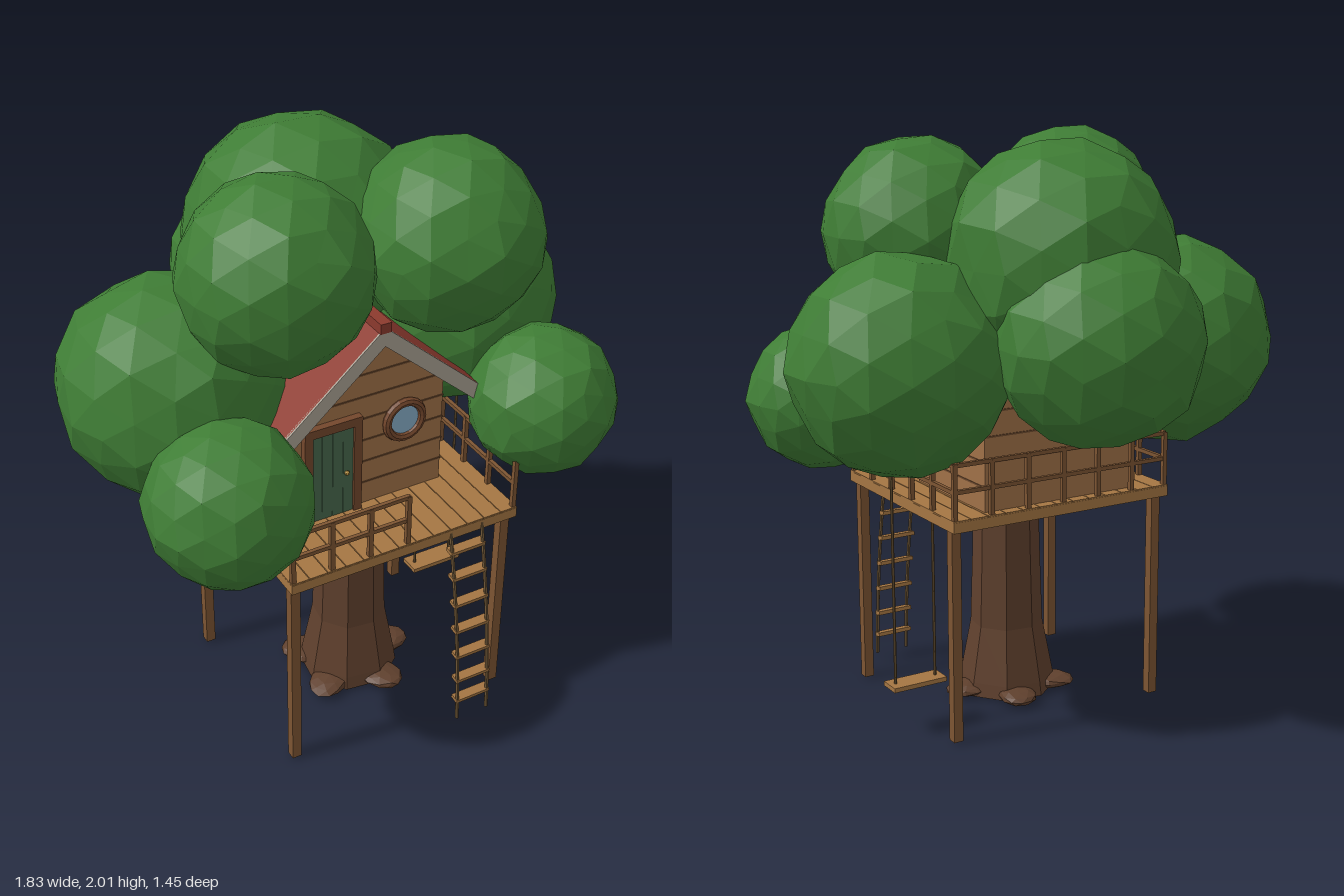
import * as THREE from 'three';

const mat = (color, flat = true) => new THREE.MeshStandardMaterial({ color, flatShading: flat });
const M = {
  leaf: mat(0x3f7d35), bark: mat(0x5f402d), plank: mat(0xa57643), post: mat(0x7d5533),
  wall: mat(0xa07148), seam: mat(0x6e4a2e), roof: mat(0x8c3a2e), trim: mat(0xaaa294),
  door: mat(0x48684c), frame: mat(0x74472c), glass: mat(0x86aec8), rope: mat(0x6e5636), knob: mat(0xb08a3c),
};
const CX = 0.016; // centre line of house and deck

function add(parent, name, geo, material, x = 0, y = 0, z = 0) {
  const m = new THREE.Mesh(geo, material);
  m.name = name;
  m.position.set(x, y, z);
  parent.add(m);
  return m;
}
const box = (p, name, material, w, h, d, x, y, z) => add(p, name, new THREE.BoxGeometry(w, h, d), material, x, y, z);

function group(parent, name) {
  const g = new THREE.Group();
  g.name = name;
  parent.add(g);
  return g;
}

// Faceted ball whose vertices move in or out by a rule based on their direction
function lump(radius, detail, seed, amount) {
  const geo = new THREE.IcosahedronGeometry(1, detail);
  const p = geo.attributes.position, v = new THREE.Vector3();
  for (let i = 0; i < p.count; i++) {
    v.fromBufferAttribute(p, i);
    const n = Math.sin(v.x * 9.1 + seed * 2.3) * Math.sin(v.y * 8.3 + seed) + Math.sin(v.z * 10.7 + v.x * 5 + seed * 1.7);
    v.multiplyScalar(radius * (1 + amount * n * 0.5));
    p.setXYZ(i, v.x, v.y, v.z);
  }
  geo.computeVertexNormals();
  return geo;
}

function buildTree(root) {
  const tree = group(root, 'tree');
  const profile = [[0, 0.01], [0.175, 0.01], [0.168, 0.06], [0.13, 0.26], [0.122, 0.5], [0.115, 0.77], [0, 0.77]];
  const trunk = add(tree, 'trunk', new THREE.LatheGeometry(profile.map(([r, y]) => new THREE.Vector2(r, y)), 8), M.bark, CX, 0, 0.2);
  trunk.rotation.y = 0.25;
  for (let i = 0; i < 5; i++) {
    const a = i * Math.PI * 0.4;
    const r = add(tree, 'root', lump(1, 1, i, 0.1), M.bark, CX + 0.16 * Math.cos(a), 0.03, 0.2 + 0.16 * Math.sin(a));
    r.scale.set(0.088, 0.025, 0.068);
    r.rotation.y = -a;
  }
  // x, y, z, radius of each leaf ball
  const balls = [
    [-0.275, 1.705, 0.237, 0.315], [0.338, 1.688, 0.237, 0.317], [-0.548, 1.275, 0.02, 0.37], [0.54, 1.295, -0.02, 0.368],
    [0.016, 1.61, -0.16, 0.395], [0.016, 1.375, -0.38, 0.347], [-0.565, 1.094, 0.46, 0.268], [0.603, 1.113, 0.458, 0.255],
  ];
  balls.forEach(([x, y, z, r], i) => add(tree, 'leafBall', lump(r, 2, i + 1, 0.04), M.leaf, x, y, z));
}

function buildDeck(root) {
  const deck = group(root, 'deck');
  box(deck, 'deckBase', M.plank, 0.856, 0.036, 0.77, CX, 0.773, 0.195);
  const n = 13, w = 0.858 / n;
  for (let i = 0; i < n; i++)
    box(deck, 'deckPlank', M.plank, w - 0.003, 0.01, 0.768, CX - 0.429 + w * (i + 0.5), 0.791, 0.195);
  for (const x of [-0.385, 0.417]) for (const z of [0.538, -0.14])
    box(deck, 'supportPost', M.post, 0.034, 0.75, 0.034, x, 0.385, z);

  // Railings, with an opening at the front for the ladder
  const rails = group(root, 'railing');
  const run = (x0, z0, x1, z1, parts) => {
    const len = Math.hypot(x1 - x0, z1 - z0), along = Math.abs(x1 - x0) > 0.01;
    for (let i = 0; i <= parts; i++) {
      const t = i / parts;
      box(rails, 'railPost', M.post, 0.016, 0.19, 0.016, x0 + (x1 - x0) * t, 0.888, z0 + (z1 - z0) * t);
    }
    for (const y of [0.89, 0.98])
      box(rails, 'rail', M.post, along ? len : 0.014, 0.014, along ? 0.014 : len, (x0 + x1) / 2, y, (z0 + z1) / 2);
  };
  const L = CX - 0.418, R = CX + 0.418, F = 0.568, B = -0.178;
  run(L, F, 0.02, F, 3);
  run(L, F, L, B, 5);
  run(R, F, R, B, 5);
  run(L, B, R, B, 6);
}

function buildHouse(root) {
  const house = group(root, 'house');
  const half = 0.288, y0 = 0.795, eave = 1.215, apex = 1.465, front = 0.31, back = -0.15, mid = (front + back) / 2;
  const s = new THREE.Shape([[-half, y0], [half, y0], [half, eave], [0, apex], [-half, eave]].map(p => new THREE.Vector2(...p)));
  add(house, 'walls', new THREE.ExtrudeGeometry(s, { depth: front - back, bevelEnabled: false }), M.wall, CX, 0, back);
  // Board seams around the walls, narrowing inside the gable
  for (let y = y0 + 0.085; y < 1.44; y += 0.085) {
    const w = y < eave ? half : half * (apex - y) / (apex - eave);
    box(house, 'boardSeam', M.seam, 2 * w + 0.004, 0.006, front - back + 0.006, CX, y, mid);
  }

  // Roof slabs with pale gable boards, overlapping at the ridge
  const slope = (apex - eave) / half, a = Math.atan(slope), len = 0.35 / Math.cos(a), lap = 0.03;
  const roofZ0 = back - 0.06, roofZ1 = front + 0.09, roofMid = (roofZ0 + roofZ1) / 2;
  for (const side of [-1, 1]) {
    const pitch = group(house, 'roofSide');
    pitch.position.set(CX, apex, 0);
    pitch.rotation.z = -side * a;
    box(pitch, 'roofSlab', M.roof, len + lap, 0.042, roofZ1 - roofZ0, side * (len - lap) / 2, 0.022, roofMid);
    for (const z of [roofZ0, roofZ1])
      box(pitch, 'gableBoard', M.trim, len + lap, 0.05, 0.014, side * (len - lap) / 2, 0.018, z);
  }
  box(house, 'ridgeCap', M.roof, 0.04, 0.035, roofZ1 - roofZ0 + 0.02, CX, apex + 0.057, roofMid);

  // Door
  const door = group(house, 'door');
  for (const x of [-0.215, -0.032]) box(door, 'doorJamb', M.frame, 0.03, 0.34, 0.03, x, 0.965, front + 0.01);
  box(door, 'doorLintel', M.frame, 0.213, 0.032, 0.032, -0.1235, 1.149, front + 0.01);
  for (let i = 0; i < 4; i++)
    box(door, 'doorPlank', M.door, 0.038, 0.338, 0.016, -0.1825 + i * 0.0393, 0.964, front + 0.008);
  add(door, 'doorKnob', new THREE.SphereGeometry(0.009, 8, 6), M.knob, -0.072, 0.957, front + 0.022);

  // Round window
  add(house, 'windowFrame', new THREE.TorusGeometry(0.067, 0.016, 8, 20), M.frame, 0.153, 1.088, front + 0.006);
  const glass = add(house, 'windowGlass', new THREE.CylinderGeometry(0.062, 0.062, 0.012, 20), M.glass, 0.153, 1.088, front + 0.003);
  glass.rotation.x = Math.PI / 2;
}

function buildLadder(root) {
  const ladder = group(root, 'ropeLadder');
  const path = x => new THREE.CatmullRomCurve3([[0.79, 0.572], [0.6, 0.61], [0.4, 0.643], [0.2, 0.665], [0.03, 0.676]]
    .map(([y, z]) => new THREE.Vector3(x, y, z)));
  for (const x of [0.185, 0.307])
    add(ladder, 'ladderRope', new THREE.TubeGeometry(path(x), 12, 0.007, 6), M.rope);
  const c = path(0.246);
  for (let i = 0; i < 7; i++) {
    const p = c.getPoint(0.115 + i * 0.128);
    const rung = box(ladder, 'rung', M.plank, 0.135, 0.014, 0.034, p.x, p.y, p.z - 0.01);
    rung.rotation.x = 0.15;
  }
}

function buildSwing(root) {
  const swing = group(root, 'swing');
  box(swing, 'swingSeat', M.plank, 0.2, 0.016, 0.08, 0.48, 0.178, 0.03);
  for (const x of [0.405, 0.556])
    add(swing, 'swingRope', new THREE.CylinderGeometry(0.005, 0.005, 0.95, 6), M.rope, x, 0.655, 0.03);
}

export function createModel() {
  const model = new THREE.Group();
  model.name = 'treeHouse';
  buildTree(model);
  buildDeck(model);
  buildHouse(model);
  buildLadder(model);
  buildSwing(model);
  return model;
}
